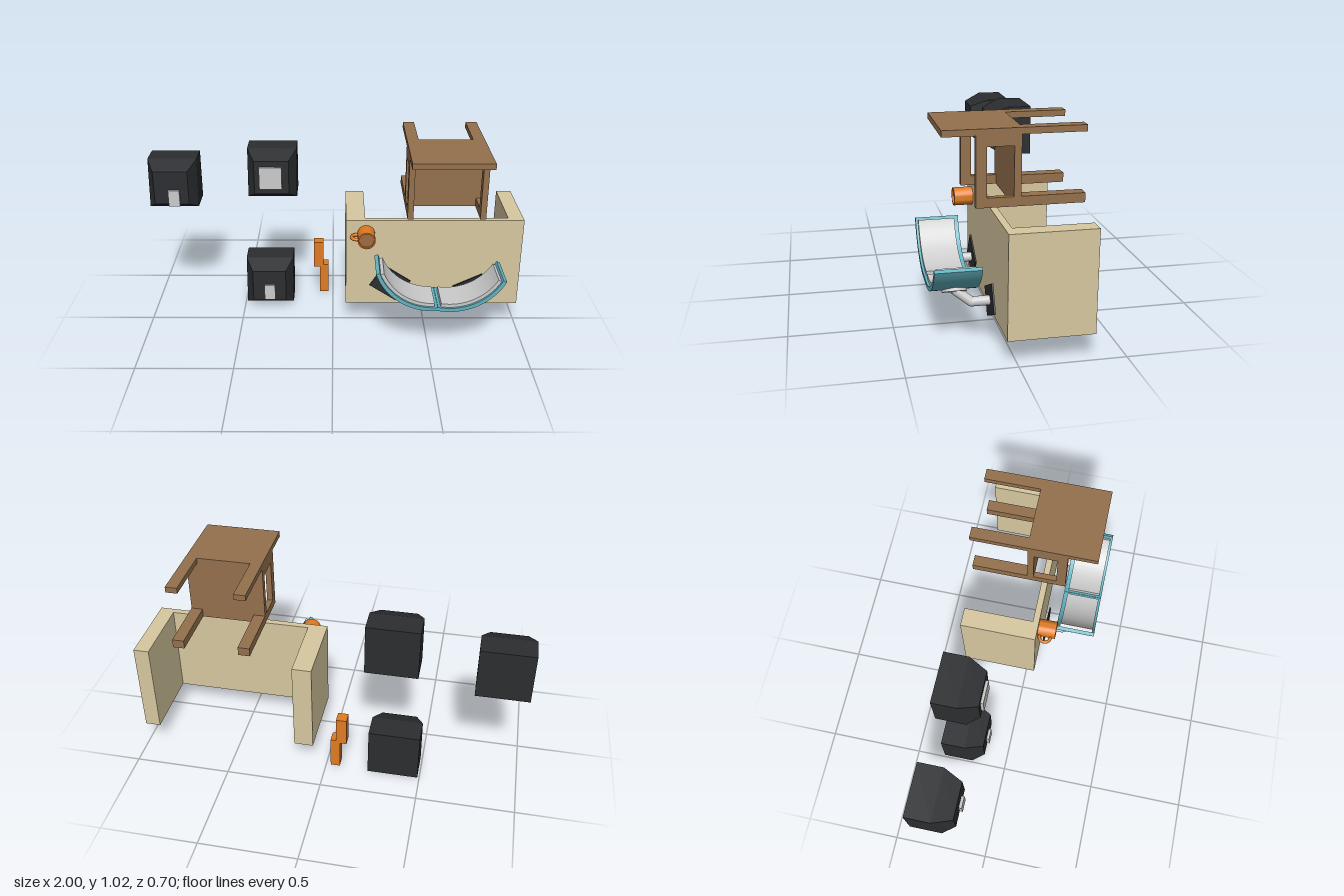
import * as THREE from 'three';
import { toCreasedNormals } from 'three/addons/utils/BufferGeometryUtils.js';

const mat = (color, extra = {}) => new THREE.MeshStandardMaterial({ color, ...extra });
const tan = mat(0xd7c8a0), brown = mat(0x94704d), black = mat(0x2b2d30, { flatShading: true });
const teal = mat(0x63b3c1), grey = mat(0xcccccc), orange = mat(0xe07b22);
const orangeThin = mat(0xe07b22, { side: THREE.DoubleSide }), coffee = mat(0x9c6a40);

function add(parent, name, geometry, material) {
  const mesh = new THREE.Mesh(geometry, material);
  mesh.name = name;
  parent.add(mesh);
  return mesh;
}

function group(parent, name) {
  const g = new THREE.Group();
  g.name = name;
  parent.add(g);
  return g;
}

// Box given by its limits on each axis
function box(parent, name, x0, x1, y0, y1, z0, z1, material) {
  const m = add(parent, name, new THREE.BoxGeometry(x1 - x0, y1 - y0, z1 - z0), material);
  m.position.set((x0 + x1) / 2, (y0 + y1) / 2, (z0 + z1) / 2);
  return m;
}

// Round bar between two points
function rod(parent, name, a, b, r, material) {
  const d = b.clone().sub(a);
  const m = add(parent, name, new THREE.CylinderGeometry(r, r, d.length(), 24), material);
  m.position.copy(a).addScaledVector(d, 0.5);
  m.quaternion.setFromUnitVectors(new THREE.Vector3(0, 1, 0), d.normalize());
  return m;
}

function desk(parent) {
  const g = group(parent, 'desk');
  box(g, 'deskTop', 0.07, 1, 0.127, 0.62, 0.02, 0.053, tan);
  box(g, 'deskLegRight', 0.07, 0.17, 0.127, 0.62, -0.35, 0.02, tan);
  box(g, 'deskLegLeft', 0.92, 1, 0.127, 0.62, -0.35, 0.02, tan);
}

function chair(parent) {
  const g = group(parent, 'chair');
  box(g, 'chairBack', 0.38, 0.78, 0.995, 1.025, -0.058, 0.3, brown);
  box(g, 'seat', 0.38, 0.78, 0.67, 0.995, -0.055, -0.022, brown);
  for (const s of [-1, 1]) {
    const span = (inset, width) => {
      const outer = 0.58 + s * (0.2 - inset), inner = outer - s * width;
      return [Math.min(outer, inner), Math.max(outer, inner)];
    };
    box(g, 'backLeg', ...span(0, 0.06), 0.995, 1.025, -0.35, -0.058, brown);
    box(g, 'frontLeg', ...span(0, 0.06), 0.67, 0.715, -0.35, -0.055, brown);
    // Open arm frame
    const arm = span(0, 0.03);
    box(g, 'armPost', ...arm, 0.67, 0.715, -0.022, 0.15, brown);
    box(g, 'armRear', ...arm, 0.945, 0.995, -0.022, 0.15, brown);
    box(g, 'armRest', ...arm, 0.715, 0.945, 0.1, 0.15, brown);
  }
}

// Curved slab around the origin, bulging towards -y
function arcSlab(rIn, rOut, half, z0, z1) {
  const mid = -Math.PI / 2;
  const s = new THREE.Shape();
  s.absarc(0, 0, rOut, mid - half, mid + half, false);
  s.absarc(0, 0, rIn, mid + half, mid - half, true);
  const geo = new THREE.ExtrudeGeometry(s, { depth: z1 - z0, bevelEnabled: false, curveSegments: 24 });
  geo.translate(0, 0, z0);
  return toCreasedNormals(geo, 0.5);
}

function monitor(parent, name, cx, cy, turn, foot) {
  const g = group(parent, name), R = 0.31;
  const shell = group(g, 'display');
  shell.position.set(cx, cy, 0);
  shell.rotation.z = turn;
  add(shell, 'casing', arcSlab(0.29, R, 0.66, 0.135, 0.35), teal);
  add(shell, 'screen', arcSlab(0.272, 0.291, 0.61, 0.157, 0.338), grey);
  const plate = add(shell, 'mountPlate', new THREE.CylinderGeometry(0.058, 0.058, 0.02, 32), grey);
  plate.position.set(0, -R, 0.24);

  // Foot, post and bent neck
  const base = add(g, 'foot', new THREE.BoxGeometry(0.17, 0.14, 0.008), black);
  base.position.set(...foot, 0.077);
  base.rotation.z = turn;
  const a = new THREE.Vector3(...foot, 0.08), b = new THREE.Vector3(...foot, 0.165);
  const c = new THREE.Vector3(cx + Math.sin(turn) * R, cy - Math.cos(turn) * R, 0.24);
  rod(g, 'post', a, b, 0.023, grey);
  add(g, 'elbow', new THREE.SphereGeometry(0.023, 24, 16), grey).position.copy(b);
  rod(g, 'neck', b, c, 0.023, grey);
}

function mug(parent) {
  const g = group(parent, 'mug');
  g.position.set(0.175, 0.545, 0.05);
  const wall = [[0, 0], [0.046, 0], [0.046, 0.098], [0.039, 0.098], [0.039, 0.08]];
  const geo = new THREE.LatheGeometry(wall.map(p => new THREE.Vector2(...p)), 32);
  add(g, 'cup', toCreasedNormals(geo.toNonIndexed(), 0.6), orangeThin).rotation.x = Math.PI / 2;
  add(g, 'coffee', new THREE.CircleGeometry(0.0395, 32), coffee).position.z = 0.088;
  const handle = add(g, 'handle', new THREE.TorusGeometry(0.03, 0.009, 10, 28), orange);
  handle.position.set(-0.048, -0.002, 0.045);
  handle.rotation.x = Math.PI / 2;
}

// Keycap: straight base, then four sides tapering to the face
function keycap(parent, name, x, y, padX, padY, padW, padH) {
  const g = group(parent, name), h = 0.1325, f = 0.092;
  g.position.set(x, y, 0);
  const ring = (r, zLow, zHigh) => [[-r, -r, zLow], [r, -r, zLow], [r, r, zHigh], [-r, r, zHigh]];
  const rings = [ring(h, -0.35, -0.35), ring(h, -0.19, -0.22), ring(f, -0.125, -0.125)];
  const index = [0, 2, 1, 0, 3, 2, 8, 9, 10, 8, 10, 11];
  for (let k = 0; k < 2; k++) {
    for (let i = 0; i < 4; i++) {
      const p = k * 4 + i, q = k * 4 + (i + 1) % 4;
      index.push(p, q, q + 4, p, q + 4, p + 4);
    }
  }
  const geo = new THREE.BufferGeometry();
  geo.setAttribute('position', new THREE.Float32BufferAttribute(rings.flat(2), 3));
  geo.setIndex(index);
  geo.computeVertexNormals();
  add(g, 'cap', geo, black);
  // Plain raised pad on the face
  const pad = add(g, 'facePad', new THREE.BoxGeometry(padW, padH, 0.015), grey);
  pad.position.set(padX, padY, -0.118);
}

export function createModel() {
  const model = new THREE.Group();
  model.name = 'workspace';
  desk(model);
  chair(model);
  monitor(model, 'monitorRight', 0.51, 0.558, -0.58, [0.307, 0.263]);
  monitor(model, 'monitorLeft', 0.595, 0.554, 0.45, [0.75, 0.218]);
  mug(model);
  keycap(model, 'keycapUpper', -0.8675, 0.7275, 0.015, -0.055, 0.06, 0.09);
  keycap(model, 'keycapMiddle', -0.3275, 0.7875, -0.005, 0, 0.12, 0.12);
  keycap(model, 'keycapLower', -0.3575, 0.1325, 0.002, -0.035, 0.06, 0.09);
  // Two staggered plain posts
  const posts = group(model, 'orangePosts');
  box(posts, 'upperPost', -0.11, -0.055, 0.17, 0.325, -0.35, -0.29, orange);
  box(posts, 'lowerPost', -0.075, -0.026, 0.01, 0.185, -0.35, -0.29, orange);
  return model;
}
